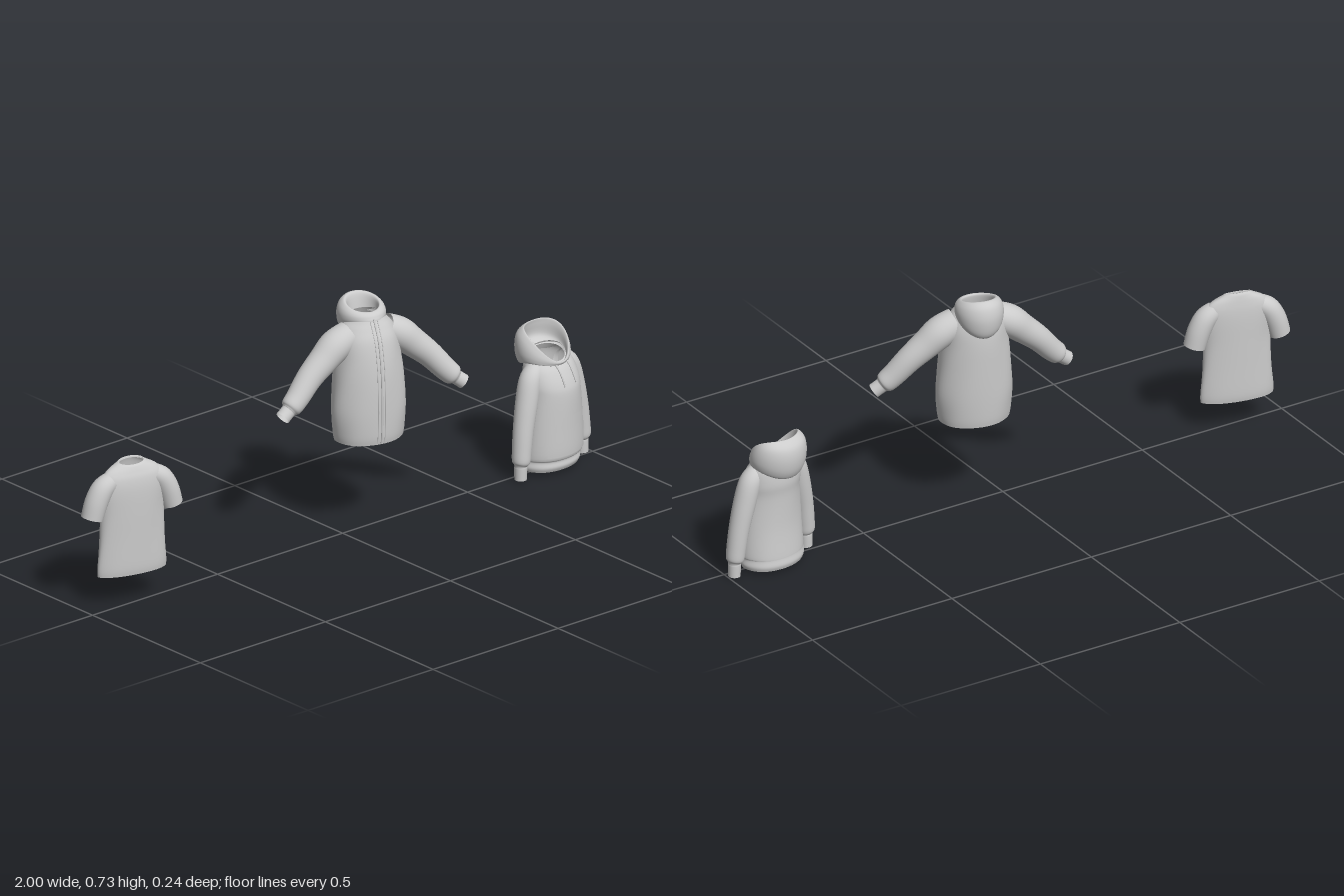
import * as THREE from 'three';

const fabric = new THREE.MeshStandardMaterial({ color: 0xcccccc, side: THREE.DoubleSide });
const SIDES = 48;

// Catmull-Rom through rows of numbers, column by column
function smooth(rows, steps = 5) {
  const out = [], last = rows.length - 1;
  for (let i = 0; i < last; i++) {
    for (let k = 0; k < steps; k++) {
      const t = k / steps;
      out.push(rows[i].map((b, c) => {
        const a = rows[Math.max(i - 1, 0)][c], d = rows[i + 1][c], e = rows[Math.min(i + 2, last)][c];
        return b + 0.5 * t * (d - a + t * (2 * a - 5 * b + 4 * d - e + t * (3 * (b - d) + e - a)));
      }));
    }
  }
  out.push(rows[last].slice());
  return out;
}

// Skin a list of closed rings, each an array of SIDES points
function skin(name, rings) {
  const index = [];
  for (let i = 0; i < rings.length - 1; i++) {
    for (let j = 0; j < SIDES; j++) {
      const a = i * SIDES + j, b = i * SIDES + (j + 1) % SIDES;
      index.push(a, a + SIDES, b, b, a + SIDES, b + SIDES);
    }
  }
  const geo = new THREE.BufferGeometry();
  geo.setAttribute('position', new THREE.Float32BufferAttribute(rings.flat(2), 3));
  geo.setIndex(index);
  geo.computeVertexNormals();
  const mesh = new THREE.Mesh(geo, fabric);
  mesh.name = name;
  return mesh;
}

// Ring rows: half width, front z, front y, back z, back y, side lift
function shell(name, rows, fold = 0) {
  return skin(name, rows.map(([rx, zf, yf, zb, yb, lift]) =>
    Array.from({ length: SIDES }, (_, j) => {
      const a = -j / SIDES * Math.PI * 2, c = Math.cos(a), s = Math.sin(a);
      const k = 1 + fold * Math.sin(6 * a + yf * 22) * Math.abs(c);
      const y = (yf + yb) / 2 + (yf - yb) / 2 * s + lift * c * c;
      return [rx * c * k, y, (zf + zb) / 2 + (zf - zb) / 2 * s * k];
    })));
}

// Sleeve rows: x, y, z, radius; built once for each side
function sleeves(rows, name = 'Sleeve') {
  const pts = smooth(rows);
  const at = i => new THREE.Vector3(...pts[Math.min(Math.max(i, 0), pts.length - 1)].slice(0, 3));
  const rings = pts.map((p, i) => {
    const dir = at(i + 1).sub(at(i - 1)).normalize();
    const u = new THREE.Vector3(0, 0, 1).cross(dir).normalize(), v = dir.clone().cross(u);
    return Array.from({ length: SIDES }, (_, j) => {
      const a = j / SIDES * Math.PI * 2;
      return at(i).addScaledVector(u, p[3] * Math.cos(a)).addScaledVector(v, p[3] * Math.sin(a)).toArray();
    });
  });
  return [1, -1].map(s => skin((s > 0 ? 'left' : 'right') + name,
    rings.map(r => r.map(([x, y, z]) => [x * s, y, z]))));
}

// Depth of the front of a shell at x, y
function frontZ(rows, x, y) {
  let i = rows.findIndex(r => r[2] >= y);
  if (i < 0) i = rows.length - 1;
  const b = rows[i], a = rows[Math.max(i - 1, 0)];
  const t = a === b ? 0 : (y - a[2]) / (b[2] - a[2]);
  const [rx, zf, , zb] = a.map((v, c) => v + (b[c] - v) * t);
  return (zf + zb) / 2 + (zf - zb) / 2 * Math.sqrt(Math.max(0, 1 - (x / rx) ** 2));
}

// Thin cord lying on the front of a shell
function cord(name, rows, x, y0, y1, radius, gap = 0.001) {
  const pts = Array.from({ length: 14 }, (_, i) => {
    const y = y0 + (y1 - y0) * i / 13;
    return new THREE.Vector3(x, y, frontZ(rows, x, y) + gap);
  });
  const mesh = new THREE.Mesh(new THREE.TubeGeometry(new THREE.CatmullRomCurve3(pts), 40, radius, 8), fabric);
  mesh.name = name;
  return mesh;
}

function garment(name, x, z, yaw, parts) {
  const g = new THREE.Group();
  g.name = name;
  g.position.set(x, 0, z);
  g.rotation.y = yaw;
  g.add(...parts);
  return g;
}

function tShirt() {
  const body = smooth([
    [0.116, 0.037, 0.10, -0.037, 0.10, 0],
    [0.117, 0.040, 0.13, -0.040, 0.13, 0],
    [0.110, 0.041, 0.22, -0.040, 0.22, 0],
    [0.106, 0.042, 0.30, -0.040, 0.30, 0],
    [0.110, 0.041, 0.37, -0.040, 0.37, 0],
    [0.106, 0.036, 0.41, -0.038, 0.41, 0],
    [0.085, 0.028, 0.432, -0.034, 0.438, 0],
    [0.056, 0.021, 0.446, -0.030, 0.456, 0],
    [0.047, 0.018, 0.449, -0.027, 0.463, 0],
    [0.042, 0.014, 0.452, -0.024, 0.466, 0],
    [0.040, 0.013, 0.446, -0.022, 0.460, 0],
  ]);
  return garment('tShirt', -0.83, -0.015, -0.22, [
    shell('tShirtBody', body, 0.012),
    ...sleeves([
      [0.070, 0.407, 0, 0.030], [0.100, 0.385, 0, 0.035],
      [0.122, 0.345, 0, 0.036], [0.137, 0.296, 0, 0.034],
    ], 'ShortSleeve'),
  ]);
}

function zipJacket() {
  const body = smooth([
    [0.110, 0.080, 0.295, -0.084, 0.295, 0],
    [0.115, 0.084, 0.325, -0.088, 0.325, 0],
    [0.121, 0.086, 0.40, -0.092, 0.40, 0],
    [0.113, 0.084, 0.49, -0.094, 0.50, 0],
    [0.104, 0.077, 0.56, -0.094, 0.57, 0],
    [0.098, 0.064, 0.62, -0.090, 0.62, 0],
    [0.082, 0.048, 0.655, -0.082, 0.655, 0],
    [0.064, 0.037, 0.675, -0.074, 0.675, 0],
    [0.053, 0.030, 0.688, -0.068, 0.688, 0],
  ]);
  const hood = smooth([
    [0.055, 0.035, 0.672, -0.070, 0.670, 0],
    [0.065, 0.034, 0.682, -0.102, 0.614, 0.01],
    [0.073, 0.031, 0.689, -0.122, 0.628, 0.01],
    [0.074, 0.027, 0.696, -0.129, 0.675, 0.005],
    [0.068, 0.020, 0.702, -0.120, 0.715, 0],
    [0.056, 0.012, 0.704, -0.100, 0.733, 0],
    [0.048, 0.008, 0.698, -0.088, 0.722, 0],
    [0.046, 0.012, 0.672, -0.078, 0.675, 0],
  ]);
  return garment('zipJacket', 0.105, 0, -0.22, [
    shell('jacketBody', body, 0.012),
    shell('jacketHood', hood),
    cord('zipper', body, 0, 0.298, 0.686, 0.003),
    ...[-0.012, 0.012].map(x => cord('zipperPlacket', body, x, 0.298, 0.68, 0.0018, 0)),
    ...sleeves([
      [0.060, 0.632, -0.012, 0.046], [0.110, 0.606, -0.010, 0.050],
      [0.155, 0.568, -0.005, 0.045], [0.205, 0.524, 0.002, 0.040],
      [0.250, 0.474, 0.013, 0.036], [0.276, 0.449, 0.019, 0.033],
      [0.285, 0.441, 0.021, 0.025], [0.290, 0.437, 0.022, 0.023],
      [0.311, 0.421, 0.027, 0.023],
    ], 'JacketSleeve'),
  ]);
}

function hoodie() {
  const body = smooth([
    [0.107, 0.070, 0.014, -0.081, 0.014, 0],
    [0.111, 0.076, 0.028, -0.085, 0.028, 0],
    [0.108, 0.074, 0.047, -0.082, 0.047, 0],
    [0.112, 0.085, 0.062, -0.081, 0.062, 0],
    [0.107, 0.086, 0.15, -0.074, 0.15, 0],
    [0.099, 0.085, 0.25, -0.074, 0.25, 0],
    [0.099, 0.077, 0.29, -0.078, 0.30, 0],
    [0.092, 0.058, 0.328, -0.074, 0.345, 0],
    [0.076, 0.043, 0.347, -0.068, 0.368, 0.005],
    [0.060, 0.036, 0.354, -0.060, 0.385, 0.01],
  ]);
  const hood = smooth([
    [0.062, 0.038, 0.350, -0.060, 0.385, 0.010],
    [0.084, 0.045, 0.345, -0.088, 0.326, 0.020],
    [0.092, 0.047, 0.347, -0.106, 0.345, 0.028],
    [0.092, 0.049, 0.350, -0.113, 0.390, 0.030],
    [0.086, 0.049, 0.353, -0.106, 0.430, 0.030],
    [0.075, 0.047, 0.355, -0.082, 0.453, 0.028],
    [0.069, 0.043, 0.353, -0.082, 0.438, 0.022],
    [0.066, 0.039, 0.349, -0.084, 0.400, 0.012],
    [0.058, 0.034, 0.350, -0.060, 0.378, 0.006],
  ]);

  // Front pocket with slanted hand openings
  const geo = new THREE.PlaneGeometry(2, 1, 24, 16), p = geo.attributes.position;
  for (let i = 0; i < p.count; i++) {
    const v = p.getY(i) + 0.5, y = 0.064 + 0.126 * v;
    const half = 0.086 - 0.026 * THREE.MathUtils.smoothstep(v, 0.3, 1);
    const x = p.getX(i) * half;
    p.setXYZ(i, x, y, frontZ(body, x, y) + 0.003);
  }
  geo.computeVertexNormals();
  const pocket = new THREE.Mesh(geo, fabric);
  pocket.name = 'frontPocket';

  return garment('hoodie', 0.832, 0, 0.17, [
    shell('hoodieBody', body, 0.01),
    shell('hoodieHood', hood),
    pocket,
    ...[-0.026, 0.026].map(x => cord('drawstring', body, x, 0.285, 0.35, 0.0025, 0.003)),
    ...sleeves([
      [0.062, 0.335, -0.008, 0.030], [0.090, 0.306, -0.006, 0.035],
      [0.111, 0.240, -0.003, 0.035], [0.130, 0.160, 0, 0.032],
      [0.140, 0.095, 0.002, 0.030], [0.144, 0.060, 0.003, 0.028],
      [0.146, 0.048, 0.003, 0.020], [0.146, 0.040, 0.003, 0.020],
      [0.147, 0.003, 0.003, 0.019],
    ], 'HoodieSleeve'),
  ]);
}

export function createModel() {
  const model = new THREE.Group();
  model.name = 'threeGarments';
  model.add(tShirt(), zipJacket(), hoodie());
  return model;
}
